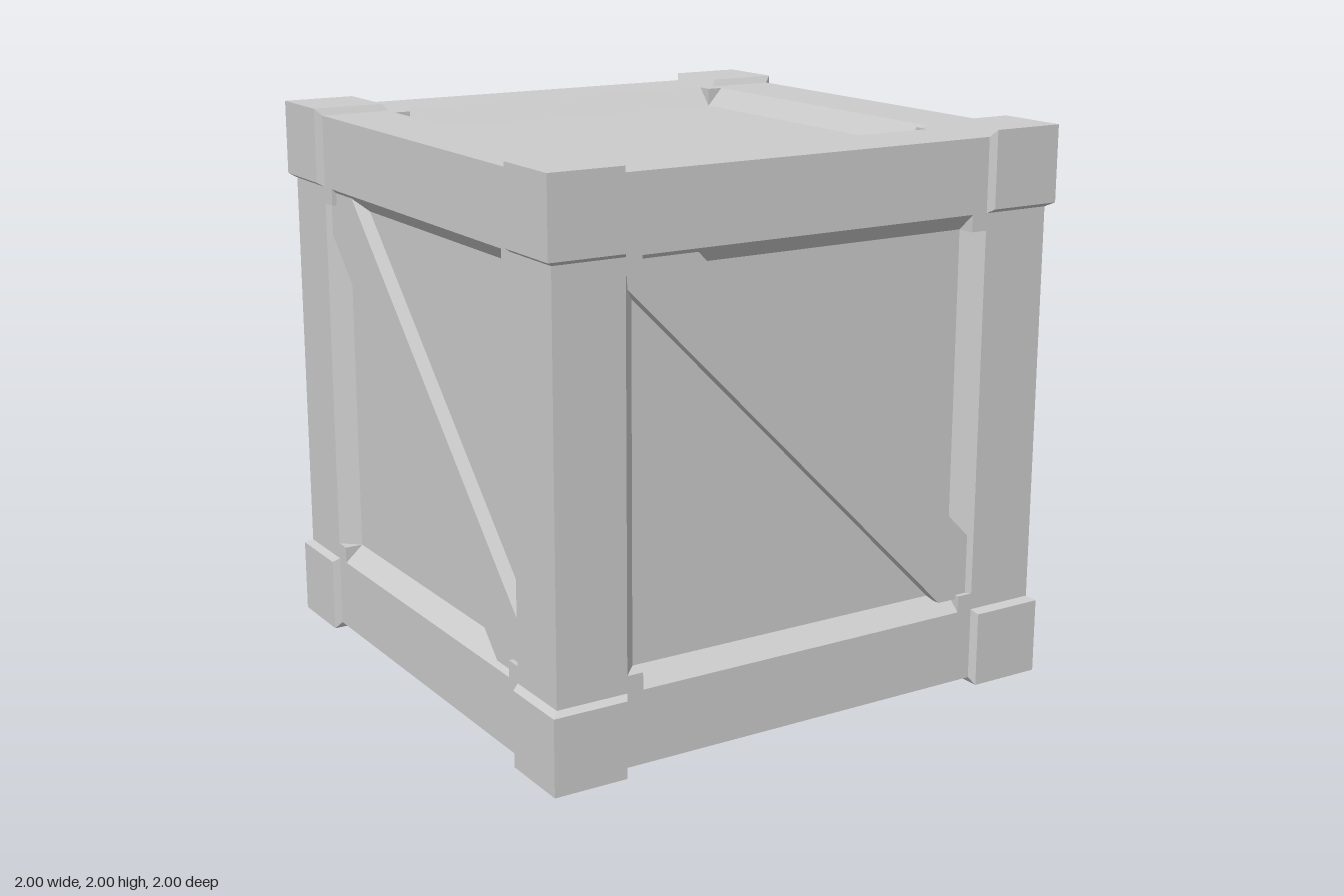
import * as THREE from 'three';
import { ConvexGeometry } from 'three/addons/geometries/ConvexGeometry.js';

const OUT = 1, BEAM = 0.975, PANEL = 0.908;   // half sizes of the corner, beam and panel layers
const INNER = 0.715, FOOT = 0.655, CAP = 0.73; // inner edges of the beam top, beam bevel and corner cap
const BRACE = 0.958;

const material = new THREE.MeshStandardMaterial({ color: 0xcccccc, flatShading: true });

function addMesh(parent, name, geometry) {
  const mesh = new THREE.Mesh(geometry, material);
  mesh.name = name;
  parent.add(mesh);
  return mesh;
}

function extrude(points, depth) {
  const shape = new THREE.Shape(points.map(([x, y]) => new THREE.Vector2(x, y)));
  return new THREE.ExtrudeGeometry(shape, { depth, bevelEnabled: false });
}

// Edge beam running along z, with bevels towards the two panels it borders
function beamGeometry() {
  const section = [
    [BEAM, BEAM], [INNER, BEAM], [FOOT, PANEL],
    [FOOT, FOOT], [PANEL, FOOT], [BEAM, INNER],
  ];
  return extrude(section, 2 * BEAM).translate(0, 0, -BEAM);
}

// Corner block whose inner edges slope down to the beams
function cornerGeometry(sx, sy, sz) {
  const points = [];
  const add = (x, y, z) => points.push(new THREE.Vector3(x * sx, y * sy, z * sz));
  for (const x of [CAP, OUT]) for (const y of [CAP, OUT]) for (const z of [CAP, OUT]) {
    if (x + y + z > 3 * CAP + 0.01) add(x, y, z);
  }
  for (const x of [INNER, BEAM]) for (const y of [INNER, BEAM]) for (const z of [INNER, BEAM]) {
    add(x, y, z);
  }
  return new ConvexGeometry(points);
}

// Diagonal brace between the lines x + y = low and x + y = high, cut off square at its ends
function braceGeometry({ low, high, bottom }) {
  const side = 0.708, top = 0.71;
  const outline = [
    [-side, top], [-side, low + side], [low - bottom, bottom],
    [side, bottom], [side, high - side], [high - top, top],
  ];
  return extrude(outline, BRACE - PANEL + 0.03).translate(0, 0, PANEL - 0.03);
}

export function createModel() {
  const model = new THREE.Group();
  model.name = 'crate';
  const crate = new THREE.Group();
  crate.name = 'crateBody';
  crate.position.y = 1;
  model.add(crate);

  // Recessed panels on all six sides
  addMesh(crate, 'panels', new THREE.BoxGeometry(2 * PANEL, 2 * PANEL, 2 * PANEL));

  // Twelve edge beams, four along each axis
  const axes = [
    ['depthBeam', (g) => g],
    ['widthBeam', (g) => g.rotateY(Math.PI / 2)],
    ['uprightBeam', (g) => g.rotateX(Math.PI / 2)],
  ];
  for (const [name, turn] of axes) {
    for (let i = 0; i < 4; i++) {
      addMesh(crate, name, turn(beamGeometry().rotateZ(i * Math.PI / 2)));
    }
  }

  // Eight corner blocks
  for (const x of [-1, 1]) for (const y of [-1, 1]) for (const z of [-1, 1]) {
    addMesh(crate, 'cornerBlock', cornerGeometry(x, y, z));
  }

  // One diagonal brace on each upright side
  const braces = [
    ['frontBrace', 0, { low: -0.09, high: 0.26, bottom: -0.67 }],
    ['leftBrace', 1, { low: -0.13, high: 0.19, bottom: -0.7 }],
    ['backBrace', 2, { low: -0.16, high: 0.18, bottom: -0.7 }],
    ['rightBrace', 3, { low: -0.16, high: 0.18, bottom: -0.7 }],
  ];
  for (const [name, quarter, size] of braces) {
    addMesh(crate, name, braceGeometry(size)).rotation.y = quarter * Math.PI / 2;
  }
  // The model's left is +x, so the first quarter turn faces left

  return model;
}
